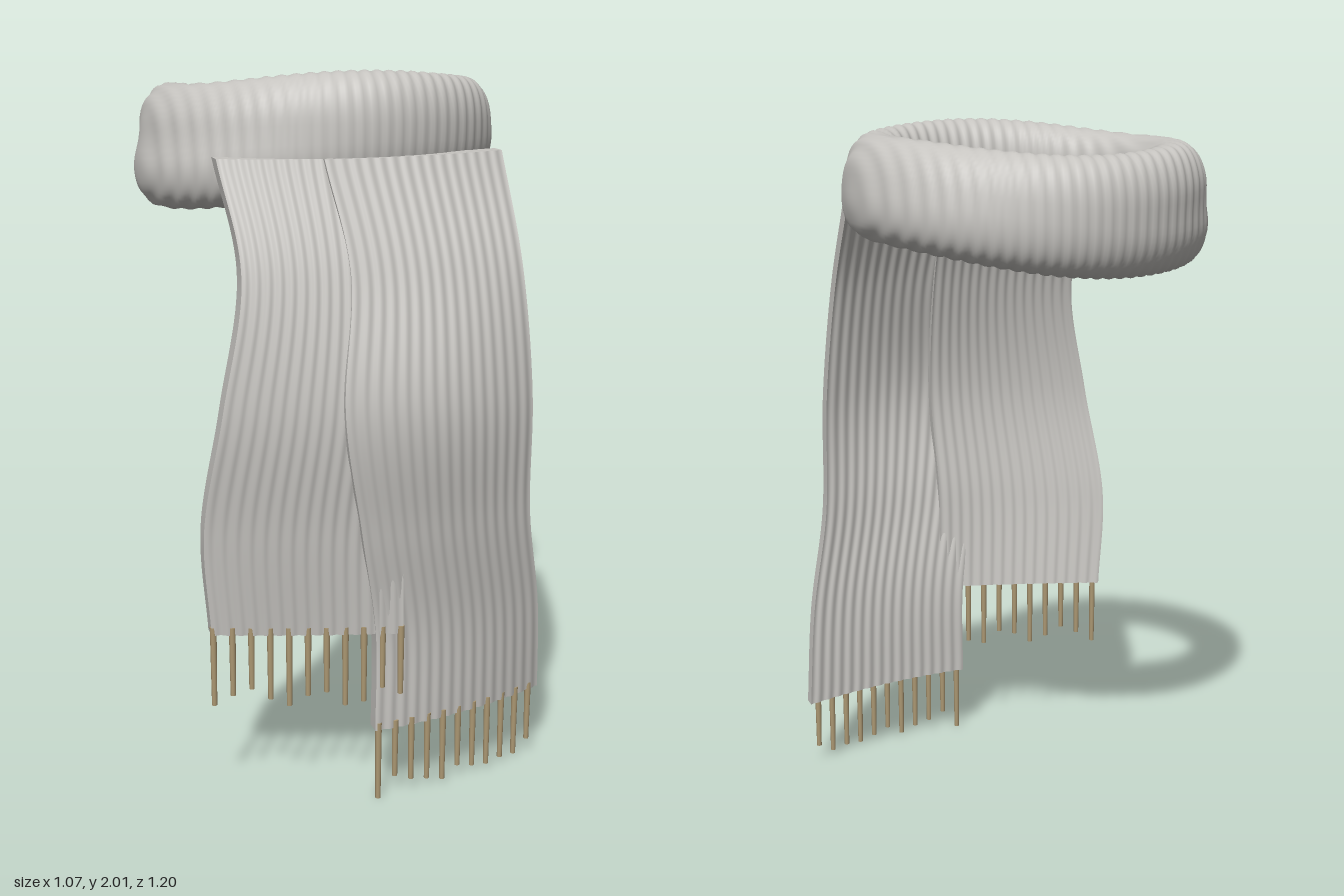
import * as THREE from 'three';
import { mergeVertices } from 'three/addons/utils/BufferGeometryUtils.js';

const RIB = 0.0026; // depth of the knitted ribs

// Moves every vertex of a geometry with a rule that receives (position, uv)
function reshape(geo, rule) {
  const p = geo.attributes.position, uv = geo.attributes.uv, v = new THREE.Vector3();
  for (let i = 0; i < p.count; i++) {
    v.fromBufferAttribute(p, i);
    rule(v, uv.getX(i), uv.getY(i));
    p.setXYZ(i, v.x, v.y, v.z);
  }
  return geo;
}

// Neck loop: a torus with a tall, gently twisting section and vertical ribs
function makeLoop() {
  const geo = reshape(new THREE.TorusGeometry(1, 0.3, 56, 320), (v, s, t) => {
    const a = s * Math.PI * 2, b = t * Math.PI * 2;
    const right = Math.cos(a), front = -Math.sin(a);
    const soft = (n) => Math.sign(n) * Math.pow(Math.abs(n), 0.85);
    const pinch = 1 - 0.08 * Math.max(0, -right) * Math.exp(-Math.pow(Math.sin(b) / 0.25, 2));
    const w = 0.094 * soft(Math.cos(b)) * pinch;
    const h = (0.157 - 0.015 * right) * soft(Math.sin(b));
    const tilt = 0.1 + 0.13 * Math.sin(2 * a + 0.6);
    const radial = w * Math.cos(tilt) - h * Math.sin(tilt);
    const lift = w * Math.sin(tilt) + h * Math.cos(tilt);
    const x = -0.02 + (0.42 + radial) * right;
    const rib = RIB * Math.sin(x * Math.PI * 2 / 0.036);
    v.set(
      x + rib * Math.cos(b) * right,
      1.805 + 0.04 * front + 0.018 * right + 0.007 * Math.sin(3 * a) + lift + rib * Math.sin(b),
      -0.098 + (0.4 + radial + rib * Math.cos(b)) * front
    );
  });
  geo.deleteAttribute('uv');
  geo.deleteAttribute('normal');
  const merged = mergeVertices(geo, 1e-5);
  merged.computeVertexNormals();
  return merged;
}

// Tail rows from top to bottom: [y, left x, right x, left z, middle z, right z]
const SHORT_TAIL = [
  [1.79, -0.4, 0.08, 0.31, 0.38, 0.385],
  [1.5, -0.37, 0.08, 0.455, 0.495, 0.495],
  [1.15, -0.43, 0.07, 0.48, 0.55, 0.57],
  [0.8, -0.475, 0.05, 0.42, 0.51, 0.545],
  [0.5, -0.455, 0.055, 0.4, 0.475, 0.535]
];
const LONG_TAIL = [
  [1.79, -0.13, 0.4, 0.395, 0.385, 0.31],
  [1.5, -0.09, 0.41, 0.505, 0.505, 0.455],
  [1.15, -0.125, 0.432, 0.575, 0.592, 0.5],
  [0.8, -0.07, 0.447, 0.552, 0.55, 0.475],
  [0.5, -0.02, 0.505, 0.52, 0.5, 0.42],
  [0.21, -0.02, 0.535, 0.522, 0.475, 0.37]
];

// Point on the front face of a tail: u across, v from top (0) to bottom (1)
function tailSurface(rows) {
  const side = (xi, zi) => new THREE.CatmullRomCurve3(
    rows.map((r) => new THREE.Vector3(xi(r), r[0], r[zi])));
  const left = side((r) => r[1], 3);
  const middle = side((r) => (r[1] + r[2]) / 2, 4);
  const right = side((r) => r[2], 5);
  return (u, v) => {
    const l = left.getPoint(v), m = middle.getPoint(v), r = right.getPoint(v);
    return l.multiplyScalar((1 - u) * (1 - 2 * u))
      .addScaledVector(m, 4 * u * (1 - u))
      .addScaledVector(r, u * (2 * u - 1));
  };
}

// Ribbed slab that follows the tail surface
function makeTail(surface) {
  const geo = reshape(new THREE.BoxGeometry(1, 1, 1, 112, 50, 1), (v) => {
    const u = v.x + 0.5, t = 0.5 - v.y;
    const rib = RIB * Math.sin(u * Math.PI * 2 * 15);
    const depth = v.z > 0 ? rib : -(0.055 - 0.012 * t) - rib;
    v.copy(surface(u, t));
    v.z += depth;
  });
  geo.computeVertexNormals();
  return geo;
}

export function createModel() {
  const wool = new THREE.MeshStandardMaterial({ name: 'greyWool', color: 0xc6c4c0 });
  const yarn = new THREE.MeshStandardMaterial({ name: 'tanYarn', color: 0xac9873 });
  const model = new THREE.Group();
  model.name = 'scarf';

  const add = (parent, geo, mat, name) => {
    const mesh = new THREE.Mesh(geo, mat);
    mesh.name = name;
    parent.add(mesh);
    return mesh;
  };

  add(model, makeLoop(), wool, 'neckLoop');

  // Each tail hangs from the loop and ends in a row of strands
  const tails = [
    ['shortTail', SHORT_TAIL, 0.01, 0.99, [0.29, 0.32, 0.34, 0.31, 0.29, 0.32, 0.33, 0.29, 0.3, 0.34, 0.32]],
    ['longTail', LONG_TAIL, 0.02, 0.935, [0, 0.06, 0.04, 0.03, 0.015, 0.045, 0.03, 0.02, 0.025, 0.02, 0.05]]
  ];
  for (const [name, rows, first, last, ends] of tails) {
    const surface = tailSurface(rows);
    add(model, makeTail(surface), wool, name);

    const fringe = new THREE.Group();
    fringe.name = name + 'Fringe';
    ends.forEach((end, i) => {
      const root = surface(first + (last - first) * i / (ends.length - 1), 1);
      const length = root.y + 0.022 - end;
      const strand = add(fringe, new THREE.CylinderGeometry(0.0095, 0.0075, length, 10), yarn, 'strand');
      strand.position.set(root.x, end + length / 2, root.z - 0.005);
    });
    model.add(fringe);
  }
  return model;
}
